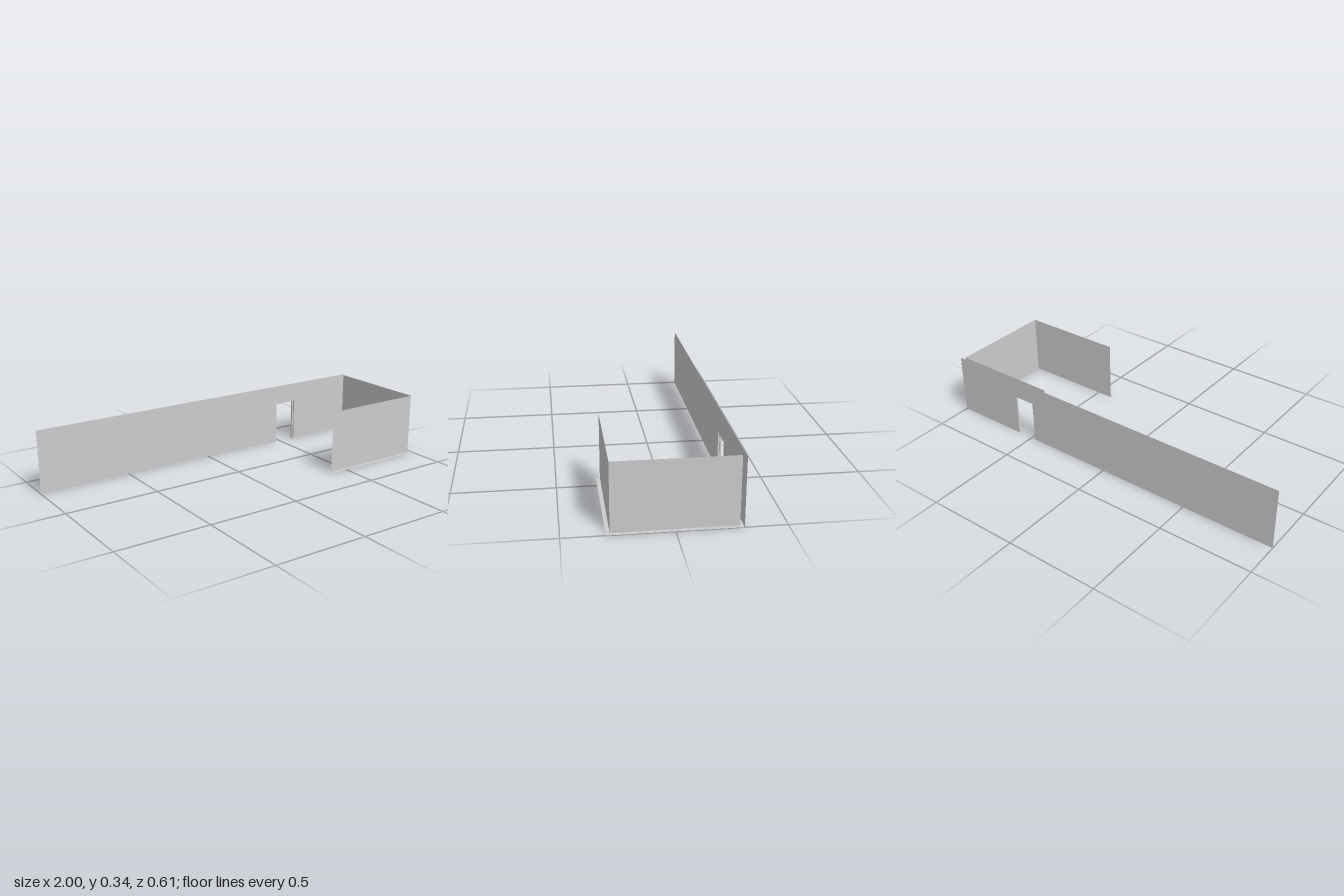
import * as THREE from 'three';

const H = 0.335;          // wall height
const OUT = -0.304, STEP = -0.295, IN = -0.288; // depth layers of the back wall
const outerDoor = { x0: 0.474, x1: 0.59, h: 0.23 };
const innerDoor = { x0: 0.466, x1: 0.598, h: 0.235 };

export function createModel() {
  const group = new THREE.Group();
  const material = new THREE.MeshStandardMaterial({ color: 0xcccccc, side: THREE.DoubleSide });

  const add = (name, geometry) => {
    const mesh = new THREE.Mesh(geometry, material);
    mesh.name = name;
    group.add(mesh);
    return mesh;
  };
  const outline = (points) =>
    new THREE.ShapeGeometry(new THREE.Shape(points.map(([x, y]) => new THREE.Vector2(x, y))));

  // Upright sheet across x with a doorway cut from its lower edge
  const doorWall = (name, x0, x1, z, d) =>
    add(name, outline([[x0, 0], [d.x0, 0], [d.x0, d.h], [d.x1, d.h], [d.x1, 0], [x1, 0], [x1, H], [x0, H]])
      .translate(0, 0, z));
  // Upright sheet along z
  const sideSheet = (name, x, z0, z1, h) =>
    add(name, new THREE.PlaneGeometry(z1 - z0, h).rotateY(Math.PI / 2).translate(x, h / 2, (z0 + z1) / 2));
  // Flat sheet
  const flatSheet = (name, x0, x1, z0, z1, y) =>
    add(name, new THREE.PlaneGeometry(x1 - x0, z1 - z0).rotateX(-Math.PI / 2)
      .translate((x0 + x1) / 2, y, (z0 + z1) / 2));

  // Long outer wall and the inner lining of the room
  doorWall('longWall', -1, 1, OUT, outerDoor);
  doorWall('backLining', 0.395, 0.98, IN, innerDoor);

  // Side and front walls of the room
  sideSheet('sideWall', 0.98, IN, 0.285, H);
  add('frontWall', new THREE.PlaneGeometry(0.57, H).translate(0.695, H / 2, 0.285));

  // Stepped doorway: jambs and head for each depth layer
  for (const [d, z0, z1] of [[outerDoor, OUT, STEP], [innerDoor, STEP, IN]]) {
    sideSheet('doorJamb', d.x0, z0, z1, d.h);
    sideSheet('doorJamb', d.x1, z0, z1, d.h);
    flatSheet('doorHead', d.x0, d.x1, z0, z1, d.h);
  }
  const o = outerDoor, i = innerDoor;
  add('doorRebate', outline([[i.x0, 0], [o.x0, 0], [o.x0, o.h], [o.x1, o.h], [o.x1, 0],
    [i.x1, 0], [i.x1, i.h], [i.x0, i.h]]).translate(0, 0, STEP));

  // Flat footing strips showing the wall thickness at ground level
  flatSheet('frontFooting', 0.41, 1, 0.285, 0.304, 0);
  flatSheet('sideFooting', 0.98, 1, IN, 0.285, 0);
  flatSheet('backFooting', i.x1, 1, OUT, IN, 0);
  flatSheet('backFootingEnd', 0.395, i.x0, OUT, IN, 0);

  return group;
}
